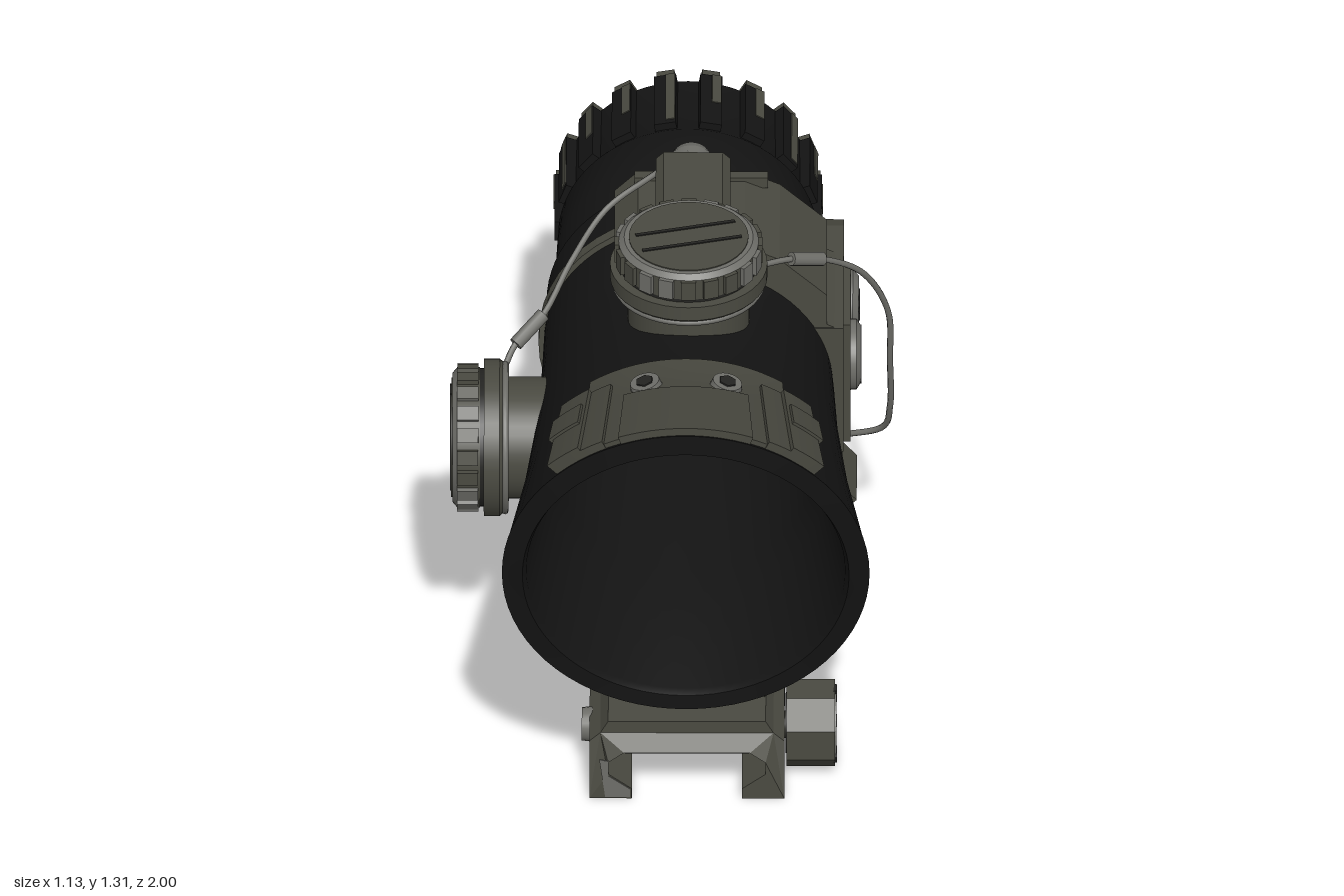
import * as THREE from 'three';
import { toCreasedNormals } from 'three/addons/utils/BufferGeometryUtils.js';

const paint = (name, color) => Object.assign(new THREE.MeshStandardMaterial({ color }), { name });
const CX = 0.035, CY = 0.69; // optical axis

// Outer tube sections, back to front: z, tilt, centre y, vertical radius, horizontal radius
const OUTER = [
  [-0.98, 0, CY, 0.312, 0.312], [-0.77, 0, CY, 0.315, 0.315], [-0.74, 0, CY, 0.33, 0.33],
  [-0.6, 0, CY, 0.335, 0.335], [-0.46, 0, CY, 0.337, 0.337], [-0.45, 0, CY, 0.358, 0.358],
  [-0.08, 0, 0.695, 0.36, 0.37], [0, 0, 0.7, 0.36, 0.375], [0.2, 0.01, 0.71, 0.38, 0.385],
  [0.5, 0.05, 0.73, 0.415, 0.415], [0.885, 0.104, 0.785, 0.492, 0.464], [0.895, 0.105, 0.785, 0.495, 0.467],
];
const INNER = [
  [0.895, 0.105, 0.777, 0.445, 0.415], [0.87, 0.1, 0.775, 0.435, 0.405], [0.4, 0.03, 0.71, 0.35, 0.35],
  [0.3, 0.01, 0.695, 0.324, 0.322], [-0.2, 0, CY, 0.315, 0.315], [-0.98, 0, CY, 0.287, 0.287],
];

const ringPoint = ([z, tilt, y, ry, rx], a, off = 0) => new THREE.Vector3(
  CX + (rx + off) * Math.sin(a), y + (ry + off) * Math.cos(a), z + tilt * Math.cos(a));

// Point on the outer tube at section z, angle a clockwise from the top
function tubePoint(z, a, off) {
  let i = 0;
  while (i < OUTER.length - 2 && OUTER[i + 1][0] < z) i++;
  const p = OUTER[i], q = OUTER[i + 1], t = (z - p[0]) / (q[0] - p[0]);
  return ringPoint(p.map((v, k) => v + (q[k] - v) * t), a, off);
}

function reshape(geo, rule) {
  const pos = geo.attributes.position;
  for (let i = 0; i < pos.count; i++) {
    const p = rule(new THREE.Vector3().fromBufferAttribute(pos, i), i);
    pos.setXYZ(i, p.x, p.y, p.z);
  }
  geo.computeVertexNormals();
  return geo;
}

const polygon = (pts) => new THREE.Shape(pts.map(([x, y]) => new THREE.Vector2(x, y)));

// Extrude an xy shape from z0 to z1
function alongZ(shape, z0, z1) {
  const g = new THREE.ExtrudeGeometry(shape, { depth: z1 - z0, bevelEnabled: false, curveSegments: 24 });
  return g.translate(0, 0, z0);
}
// Extrude a (-z, y) shape from x0 to x1
const alongX = (shape, x0, x1) => alongZ(shape, x0, x1).rotateY(Math.PI / 2);

export function createModel() {
  const model = new THREE.Group();
  const black = paint('matte black', 0x141414), olive = paint('olive grey', 0x4a4a41);
  const steel = paint('worn steel', 0x6e6e69), dark = paint('dark recess', 0x242422);

  function add(name, geo, mat, parent = model) {
    const mesh = new THREE.Mesh(geo, mat);
    mesh.name = name;
    parent.add(mesh);
    return mesh;
  }
  const box = (name, mat, w, h, d, x, y, z, parent) => {
    const m = add(name, new THREE.BoxGeometry(w, h, d), mat, parent);
    m.position.set(x, y, z);
    return m;
  };
  const disc = (name, mat, r, y0, y1, parent, rTop = r, sides = 40) => {
    const m = add(name, new THREE.CylinderGeometry(rTop, r, y1 - y0, sides), mat, parent);
    m.position.y = (y0 + y1) / 2;
    return m;
  };
  const group = (name, x, y, z, rx = 0, ry = 0, rz = 0) => {
    const g = new THREE.Group();
    g.name = name;
    g.position.set(x, y, z);
    g.rotation.set(rx, ry, rz);
    model.add(g);
    return g;
  };

  // Hollow tube with slanted objective
  const rows = [...OUTER, ...INNER, OUTER[0]], seg = 72;
  const tube = reshape(new THREE.PlaneGeometry(1, 1, seg, rows.length - 1), (p, i) =>
    ringPoint(rows[Math.floor(i / (seg + 1))], (i % (seg + 1)) / seg * Math.PI * 2));
  add('tube', toCreasedNormals(tube, 0.5), black);

  // Eyepiece grip ridges with worn rear tips
  for (let i = 0; i < 18; i++) {
    const g = group('gripRidge', CX, CY, 0, 0, 0, (i + 0.5) / 18 * Math.PI * 2);
    const wear = i % 3 ? 0.12 : 0.2;
    box('ridge', black, 0.056, 0.035, 0.215, 0, 0.322, -0.8675, g);
    box('ridgeTip', olive, 0.046, 0.055, 0.025, 0, 0.308, -0.9875, g);
    box('ridgeWear', olive, 0.024, 0.006, wear, 0.014, 0.339, wear / 2 - 0.975, g);
  }

  // Plates that follow the tube surface
  const plate = (name, z0, z1, a0, a1, off0, off1) => add(name, reshape(
    new THREE.BoxGeometry(1, 1, 1, 16, 1, 6), (p) => tubePoint(z0 + (z1 - z0) * (p.z + 0.5),
      a0 + (a1 - a0) * (p.x + 0.5), p.y > 0 ? off1 : off0)), olive);
  plate('hoodPlate', 0.42, 0.885, -0.62, 0.62, -0.01, 0.014);
  plate('hoodCentre', 0.6, 0.89, -0.36, 0.36, 0, 0.022);
  for (const s of [-1, 1]) {
    const span = (a, b) => (s > 0 ? [a, b] : [-b, -a]);
    plate('hoodShoulder', 0.5, 0.888, ...span(0.45, 0.62), 0, 0.024);
    plate('hoodWing', 0.5, 0.888, ...span(0.58, 0.78), -0.01, 0.036);
    plate('hoodLug', 0.6, 0.72, ...span(0.6, 0.8), 0, 0.044);
    plate('sidePlate', 0.34, 0.69, ...span(1.82, 2.5), -0.01, 0.036);
    plate('sidePad', 0.36, 0.54, ...span(2.02, 2.4), 0, 0.042);
  }

  // Small socket screws standing on the tube
  function socketScrew(z, a, off, r = 0.042) {
    const p = tubePoint(z, a, off);
    const g = group('socketScrew', p.x, p.y, p.z, 0, 0, -a);
    disc('screwHead', steel, r, -0.01, 0.012, g, r * 0.9, 20);
    disc('screwSocket', dark, r * 0.55, 0.012, 0.016, g, r * 0.55, 6);
  }
  for (const s of [-1, 1]) {
    socketScrew(0.56, s * 0.235, 0.018);
    socketScrew(0.51, s * 2.18, 0.044);
    socketScrew(0.39, s * 2.34, 0.044);
  }

  // Turrets with ribbed caps
  function turret(name, ...place) {
    const g = group(name, ...place);
    disc('stem', olive, 0.155, 0, 0.13, g);
    disc('flange', olive, 0.18, 0.12, 0.142, g, 0.2);
    disc('flangeRim', olive, 0.2, 0.142, 0.182, g);
    disc('seal', dark, 0.176, 0.182, 0.196, g);
    disc('cap', olive, 0.178, 0.192, 0.25, g);
    disc('capEdge', steel, 0.178, 0.25, 0.262, g, 0.164);
    disc('capFace', olive, 0.152, 0.26, 0.265, g);
    for (let i = 0; i < 20; i++) {
      const a = i / 20 * Math.PI * 2;
      const rib = box('capRib', i % 5 < 3 ? olive : steel, 0.038, 0.054, 0.016,
        0.18 * Math.sin(a), 0.223, 0.18 * Math.cos(a), g);
      rib.rotation.y = a;
    }
    // narrow edges of the shallow coin slot
    const slot = new THREE.Group();
    slot.name = 'coinSlot';
    slot.position.y = 0.266;
    slot.rotation.y = 0.25;
    g.add(slot);
    for (const s of [-1, 1]) box('slotEdge', dark, 0.26, 0.004, 0.01, 0, 0, s * 0.035, slot);
  }
  turret('topTurret', 0.04, 1.04, 0.145);
  turret('sideTurret', -0.298, 0.685, 0.15, 0, 0, Math.PI / 2);

  // Clamp block wrapped around the right half of the tube
  const block = polygon([[-0.15, 1], [-0.15, 1.06], [-0.09, 1.12], [0.18, 1.12], [0.27, 1.08], [0.39, 0.97], [0.39, 0.88],
    [0.43, 0.86], [0.43, 0.46], [0.38, 0.38], [0.27, 0.3], [0.1, 0.3]]);
  block.absarc(CX, CY, 0.345, -1.4, 2.13, false);
  add('clampBlock', alongZ(block, -0.41, -0.075), olive);
  box('blockLip', olive, 0.34, 0.03, 0.03, 0.07, 1.115, -0.38);
  const band = new THREE.Shape().absarc(CX, CY, 0.378, 0, Math.PI * 2);
  band.holes.push(new THREE.Path().absarc(CX, CY, 0.345, 0, Math.PI * 2, true));
  add('clampBand', alongZ(band, -0.3, -0.265), olive);
  add('topHousing', alongZ(polygon([[-0.045, 1.08], [0.145, 1.08], [0.145, 1.235], [0.125, 1.255],
    [-0.025, 1.255], [-0.045, 1.235]]), -0.3, -0.07), olive);

  // Rounded side cover and boss with two large slotted screws
  const cover = polygon([[0.07, 0.49], [0.53, 0.49], [0.6, 0.52], [0.635, 0.59], [0.635, 0.77],
    [0.6, 0.84], [0.53, 0.87], [0.07, 0.87]]);
  add('sideCover', alongX(cover, 0.34, 0.432), olive);
  add('sideBoss', alongX(polygon([[0.1, 0.5], [0.37, 0.5], [0.37, 0.86], [0.1, 0.86]]), 0.42, 0.45), olive);
  function slottedScrew(name, r, h, turn, ...place) {
    const g = group(name, ...place);
    disc('head', steel, r, -0.01, h * 0.6, g);
    disc('headCrown', steel, r, h * 0.6, h, g, r * 0.82);
    box('slot', dark, r * 1.65, 0.004, r * 0.22, 0, h + 0.001, 0, g).rotation.y = turn;
  }
  slottedScrew('frontAdjuster', 0.09, 0.025, 2.3, 0.45, 0.67, -0.245, 0, 0, -Math.PI / 2);
  slottedScrew('rearAdjuster', 0.09, 0.038, 1.4, 0.432, 0.67, -0.465, 0, 0, -Math.PI / 2);
  slottedScrew('topLockScrew', 0.06, 0.075, 0.4, 0.045, 1.185, -0.3, -Math.PI / 2);

  // Lower housing, angled down and outward
  const A = 2.42, out = (r) => [CX + r * Math.sin(A), CY + r * Math.cos(A)];
  const lower = group('lowerHousing', ...out(0.478), -0.2, 0, 0, -A);
  box('housing', olive, 0.145, 0.17, 0.2, -0.006, 0, 0, lower);
  slottedScrew('lowerLockScrew', 0.056, 0.075, 0.3, ...out(0.49), -0.3, -Math.PI / 2);

  // Retaining cables with ferrules
  function cable(name, pts) {
    const curve = new THREE.CatmullRomCurve3(pts.map((p) => new THREE.Vector3(...p)));
    add(name, new THREE.TubeGeometry(curve, 60, 0.008, 8), steel);
  }
  function ferrule(a, b, r = 0.018) {
    const path = new THREE.LineCurve3(new THREE.Vector3(...a), new THREE.Vector3(...b));
    const g = add('ferrule', new THREE.CylinderGeometry(r, r, path.getLength(), 10), steel);
    g.position.copy(path.getPoint(0.5));
    g.quaternion.setFromUnitVectors(new THREE.Vector3(0, 1, 0), path.getTangent(0));
  }
  cable('rightCable', [[0.22, 1.17, 0.08], [0.3, 1.155, 0.03], [0.38, 1.12, -0.02], [0.48, 1.03, -0.09], [0.545, 0.87, -0.15],
    [0.55, 0.7, -0.18], [0.55, 0.52, -0.23], [0.53, 0.42, -0.28], [0.42, 0.36, -0.33]]);
  ferrule([0.3, 1.155, 0.03], [0.38, 1.12, -0.02]);
  cable('leftCable', [[0.04, 1.24, -0.32], [-0.06, 1.17, -0.31], [-0.17, 1.1, -0.27], [-0.26, 1.02, -0.15],
    [-0.33, 0.94, -0.03], [-0.4, 0.89, 0.03], [-0.43, 0.84, 0.07]]);
  ferrule([-0.33, 0.94, -0.03], [-0.4, 0.89, 0.03]);
  add('topCableLoop', new THREE.TorusGeometry(0.187, 0.009, 8, 48).rotateX(Math.PI / 2), steel).position.set(0.04, 1.168, 0.145);
  add('sideCableLoop', new THREE.TorusGeometry(0.187, 0.009, 8, 48).rotateY(Math.PI / 2), steel).position.set(-0.426, 0.685, 0.15);

  // Saddle between tube and rail clamp, slotted through, its front raked back
  const saddle = polygon([[-0.25, 0.345], [-0.24, 0.315], [-0.16, 0.285], [-0.16, 0.19], [0.235, 0.19], [0.235, 0.285],
    [0.315, 0.315], [0.325, 0.345]]);
  saddle.absarc(CX, 0.7, 0.375, -Math.PI / 2 + 0.45, -Math.PI / 2 - 0.45, true);
  const slot = new THREE.Path().absarc(-0.045, 0.248, 0.033, Math.PI / 2, Math.PI * 1.5);
  slot.absarc(0.12, 0.248, 0.033, -Math.PI / 2, Math.PI / 2);
  saddle.holes.push(slot);
  add('saddle', reshape(alongZ(saddle, -0.065, 0.665), (p) => {
    if (p.z > 0.6) p.z -= 0.6 * Math.max(0, 0.285 - p.y);
    return p;
  }), olive);
  const rib = polygon([[-0.46, 0.2], [-0.04, 0.2], [-0.13, 0.28], [-0.36, 0.28]]);
  add('saddleRibRight', alongX(rib, 0.23, 0.25), olive);
  add('saddleRibLeft', alongX(rib, -0.175, -0.155), olive);

  // Rail clamp: two channel feet with sloped inner ends, joined by a bridge
  const outerSide = [[0.2475, 0], [0.2475, 0.15], [0.22, 0.175], [0.2, 0.21]];
  const innerSide = [[0.16, 0.14], [0.2, 0.11], [0.2, 0.075], [0.14, 0.03], [0.14, 0]];
  const mirrored = (pts) => pts.map(([x, y]) => [-x, y]).reverse();
  const profile = polygon([...outerSide, ...mirrored(outerSide), ...mirrored(innerSide), ...innerSide]);
  for (const turn of [0, Math.PI]) {
    const g = group('railFoot', 0.0375, 0, 0.245, 0, turn, 0);
    const foot = alongZ(profile, 0.235, 0.525);
    reshape(foot, (p) => {
      if (p.z < 0.3) p.z -= 0.7 * p.y;
      else if (p.y > 0.15) p.z -= 0.04;
      return p;
    });
    add('foot', foot, olive, g);
  }
  add('bridge', alongZ(polygon([[-0.21, 0.13], [0.285, 0.13], [0.285, 0.15], [0.2575, 0.175], [0.2375, 0.21],
    [-0.1625, 0.21], [-0.1825, 0.175], [-0.21, 0.15]]), 0.08, 0.41), olive);
  box('channelCeiling', dark, 0.315, 0.006, 1.04, 0.0375, 0.138, 0.245);
  box('bridgeUnderside', dark, 0.49, 0.006, 0.23, 0.0375, 0.128, 0.245);
  add('footWear', alongZ(polygon([[-0.17, 0.005], [-0.107, 0.005], [-0.107, 0.03], [-0.162, 0.07],
    [-0.162, 0.115], [-0.185, 0.12]]), 0.768, 0.772), steel);
  const baseScrew = group('baseScrew', 0.04, 0.205, -0.16);
  disc('screwHead', steel, 0.04, -0.01, 0.012, baseScrew, 0.036, 20);
  disc('screwSocket', dark, 0.022, 0.012, 0.016, baseScrew, 0.022, 6);

  // Clamp knobs, cross bolts and end nuts
  for (const z of [0.6, 0]) {
    const ring = polygon(Array.from({ length: 8 }, (_, i) => {
      const a = (i + 0.5) / 8 * Math.PI * 2;
      return [0.113 * Math.cos(a), 0.113 * Math.sin(a)];
    }));
    ring.holes.push(new THREE.Path().absarc(0, 0, 0.077, 0, Math.PI * 2, true));
    const rim = new THREE.Shape().absarc(0, 0, 0.098, 0, Math.PI * 2);
    rim.holes.push(ring.holes[0]);
    const knob = group('clampKnob', 0.35, 0.117, z, 0, 0, -Math.PI / 2);
    add('knobRing', alongZ(ring, -0.06, 0.063).rotateX(-Math.PI / 2), olive, knob);
    add('knobRim', alongZ(rim, 0.062, 0.067).rotateX(-Math.PI / 2), steel, knob);
    disc('knobCore', dark, 0.078, -0.062, 0.02, knob);
    for (let i = 0; i < 3; i++) {
      const a = i / 3 * Math.PI * 2 + 0.5;
      const notch = box('knobNotch', dark, 0.03, 0.008, 0.034, 0.089 * Math.sin(a), 0.064, 0.089 * Math.cos(a), knob);
      notch.rotation.y = a;
    }
    const bolt = group('crossBolt', 0, 0.112, z, 0, 0, -Math.PI / 2);
    disc('boltShaft', olive, 0.035, -0.2, 0.3, bolt, 0.035, 20);
    disc('boltNut', steel, 0.042, -0.23, -0.2, bolt, 0.046, 20);
  }
  return model;
}
